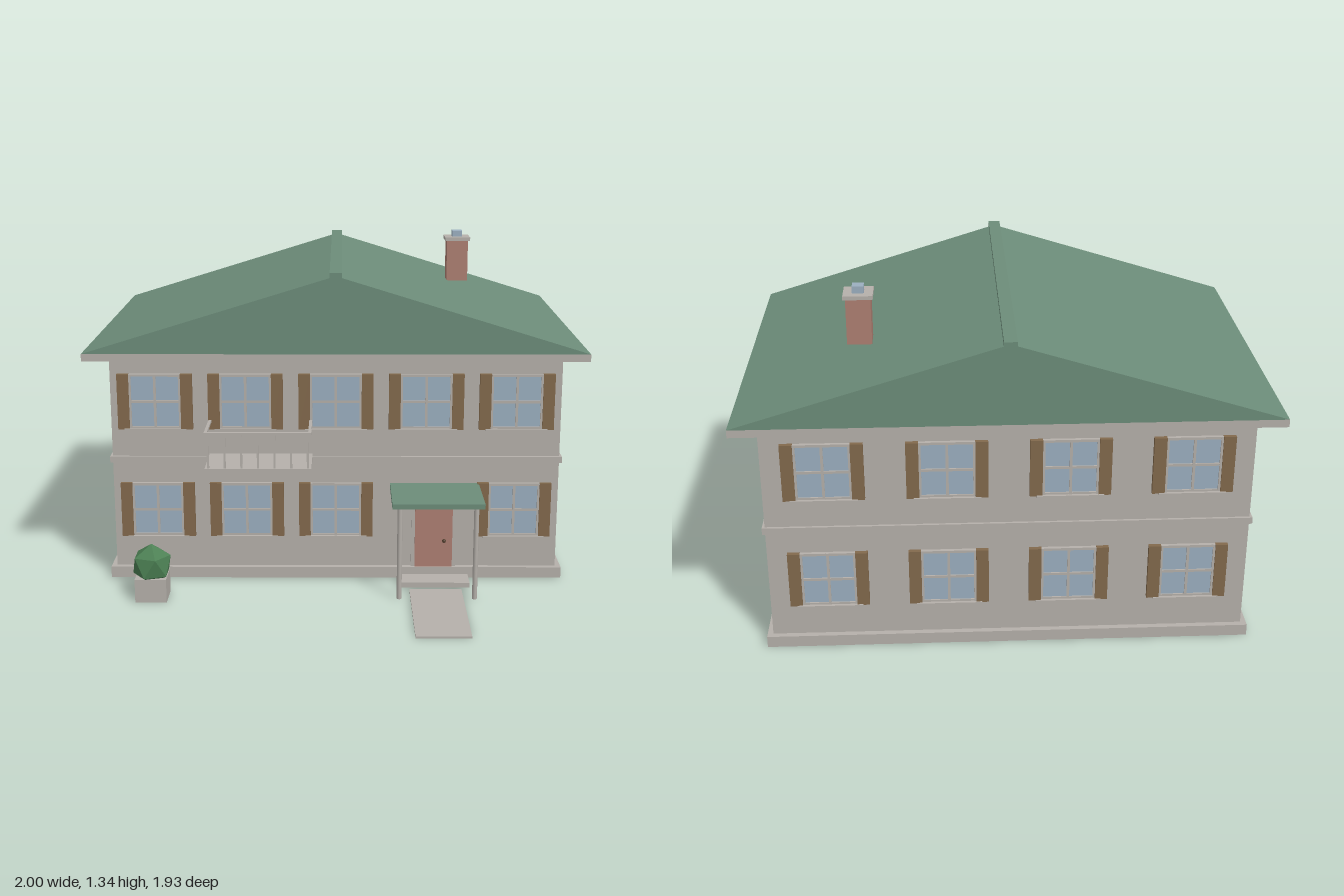
import * as THREE from 'three';

const mat = (name, color, extra = {}) => Object.assign(new THREE.MeshStandardMaterial({ color, ...extra }), { name });

export function createModel() {
  const wall = mat('stone grey', 0xb5b0aa);
  const green = mat('roof green', 0x6c8c79);
  const glass = mat('glass blue', 0x9bafc0);
  const wood = mat('shutter brown', 0x82694c);
  const red = mat('brick red', 0xad7f72);
  const leaf = mat('leaf green', 0x4b7f53, { flatShading: true });
  const dark = mat('knob brown', 0x54402f);

  const house = new THREE.Group();
  house.name = 'house';

  function add(parent, name, geometry, material, x = 0, y = 0, z = 0) {
    const m = new THREE.Mesh(geometry, material);
    m.name = name;
    m.position.set(x, y, z);
    parent.add(m);
    return m;
  }
  // Box given by its lower and upper limits on each axis
  function box(parent, name, material, [x0, x1], [y0, y1], [z0, z1]) {
    return add(parent, name, new THREE.BoxGeometry(x1 - x0, y1 - y0, z1 - z0), material,
      (x0 + x1) / 2, (y0 + y1) / 2, (z0 + z1) / 2);
  }
  function group(name) {
    const g = new THREE.Group();
    g.name = name;
    house.add(g);
    return g;
  }

  // Walls, plinth, string course and eaves
  const W = 0.907, FRONT = 0.346, BACK = -0.868, MID = (FRONT + BACK) / 2;
  const slab = (name, out, y0, y1) =>
    box(house, name, wall, [-W - out, W + out], [y0, y1], [BACK - out, FRONT + out]);
  slab('walls', 0, 0.04, 0.94);
  slab('plinth', 0.022, 0, 0.046);
  slab('stringCourse', 0.01, 0.492, 0.518);
  box(house, 'eaves', wall, [-1, 1], [0.93, 0.96], [-0.952, 0.438]);

  // Gabled roof with ridge cap
  const gable = new THREE.Shape([
    new THREE.Vector2(-1, 0.96), new THREE.Vector2(1, 0.96), new THREE.Vector2(0, 1.268)]);
  add(house, 'roof', new THREE.ExtrudeGeometry(gable, { depth: 1.39, bevelEnabled: false }), green, 0, 0, -0.952);
  box(house, 'ridgeCap', green, [-0.024, 0.024], [1.262, 1.282], [-0.966, 0.449]);

  // Chimney
  const chimney = group('chimney');
  chimney.position.set(0.546, 0, -0.503);
  box(chimney, 'chimneyStack', red, [-0.047, 0.047], [1.113, 1.295], [-0.046, 0.046]);
  box(chimney, 'chimneyCap', wall, [-0.056, 0.056], [1.293, 1.308], [-0.055, 0.055]);
  box(chimney, 'chimneyPot', glass, [-0.022, 0.022], [1.308, 1.335], [-0.022, 0.022]);

  // Window facing +z: pane, frame, glazing bars, sill and two shutters
  function makeWindow(x, y, z, turn) {
    const g = group('window');
    g.position.set(x, y, z);
    g.rotation.y = turn;
    box(g, 'pane', glass, [-0.1, 0.1], [-0.11, 0.11], [0, 0.008]);
    for (const s of [-1, 0, 1]) {
      box(g, 'uprightBar', wall, [s * 0.1 - 0.005, s * 0.1 + 0.005], [-0.113, 0.113], [0, 0.014]);
      box(g, 'crossBar', wall, [-0.1, 0.1], [s * 0.108 - 0.005, s * 0.108 + 0.005], [0, 0.013]);
    }
    box(g, 'sill', wall, [-0.125, 0.125], [-0.12, -0.111], [0, 0.024]);
    for (const s of [-1, 1])
      add(g, 'shutter', new THREE.BoxGeometry(0.047, 0.228, 0.018), wood, s * 0.127, 0, 0.009);
  }
  for (const y of [0.293, 0.748]) {
    for (const i of [-2, -1, 0, 1, 2])
      if (i !== 1 || y > 0.5) makeWindow(i * 0.3635, y, FRONT, 0);
    for (const i of [-1.5, -0.5, 0.5, 1.5]) makeWindow(i * 0.4535, y, BACK, Math.PI);
    for (const s of [-1, 1])
      for (const k of [-1, 1]) makeWindow(s * W, y, MID + k * 0.303, s * Math.PI / 2);
  }

  // Balcony with front balusters and side rails
  const balcony = group('balcony');
  balcony.position.x = -0.304;
  box(balcony, 'balconyFloor', wall, [-0.209, 0.209], [0.508, 0.528], [FRONT, 0.557]);
  box(balcony, 'frontRail', wall, [-0.209, 0.209], [0.664, 0.674], [0.545, 0.557]);
  for (const s of [-1, 1])
    box(balcony, 'sideRail', wall, [s * 0.203 - 0.006, s * 0.203 + 0.006], [0.664, 0.674], [FRONT, 0.55]);
  for (let i = -3; i <= 3; i++)
    box(balcony, 'baluster', wall, [i * 0.065 - 0.004, i * 0.065 + 0.004], [0.526, 0.666], [0.547, 0.555]);

  // Entrance: door, canopy on two posts, step and path
  const entrance = group('entrance');
  entrance.position.x = 0.402;
  box(entrance, 'doorFrame', wall, [-0.092, 0.092], [0.046, 0.34], [FRONT, 0.354]);
  box(entrance, 'door', red, [-0.077, 0.077], [0.046, 0.325], [FRONT, 0.361]);
  add(entrance, 'doorKnob', new THREE.SphereGeometry(0.008, 10, 8), dark, 0.043, 0.16, 0.366);
  box(entrance, 'canopy', green, [-0.181, 0.181], [0.383, 0.403], [FRONT, 0.619]);
  for (const s of [-1, 1])
    add(entrance, 'canopyPost', new THREE.CylinderGeometry(0.01, 0.01, 0.383, 8), wall, s * 0.15, 0.1915, 0.59);
  box(entrance, 'step', wall, [-0.14, 0.14], [0.003, 0.024], [0.391, 0.484]);
  box(entrance, 'path', wall, [-0.105, 0.105], [0, 0.008], [0.51, 0.968]);

  // Planter with a faceted bush, one point upward
  const planter = group('planter');
  planter.position.set(-0.729, 0, 0.573);
  box(planter, 'planterBox', wall, [-0.062, 0.062], [0, 0.095], [-0.062, 0.062]);
  const bush = new THREE.IcosahedronGeometry(0.084, 0);
  bush.rotateZ(-0.5536);
  add(planter, 'bush', bush, leaf, 0, 0.139, 0);

  return house;
}
